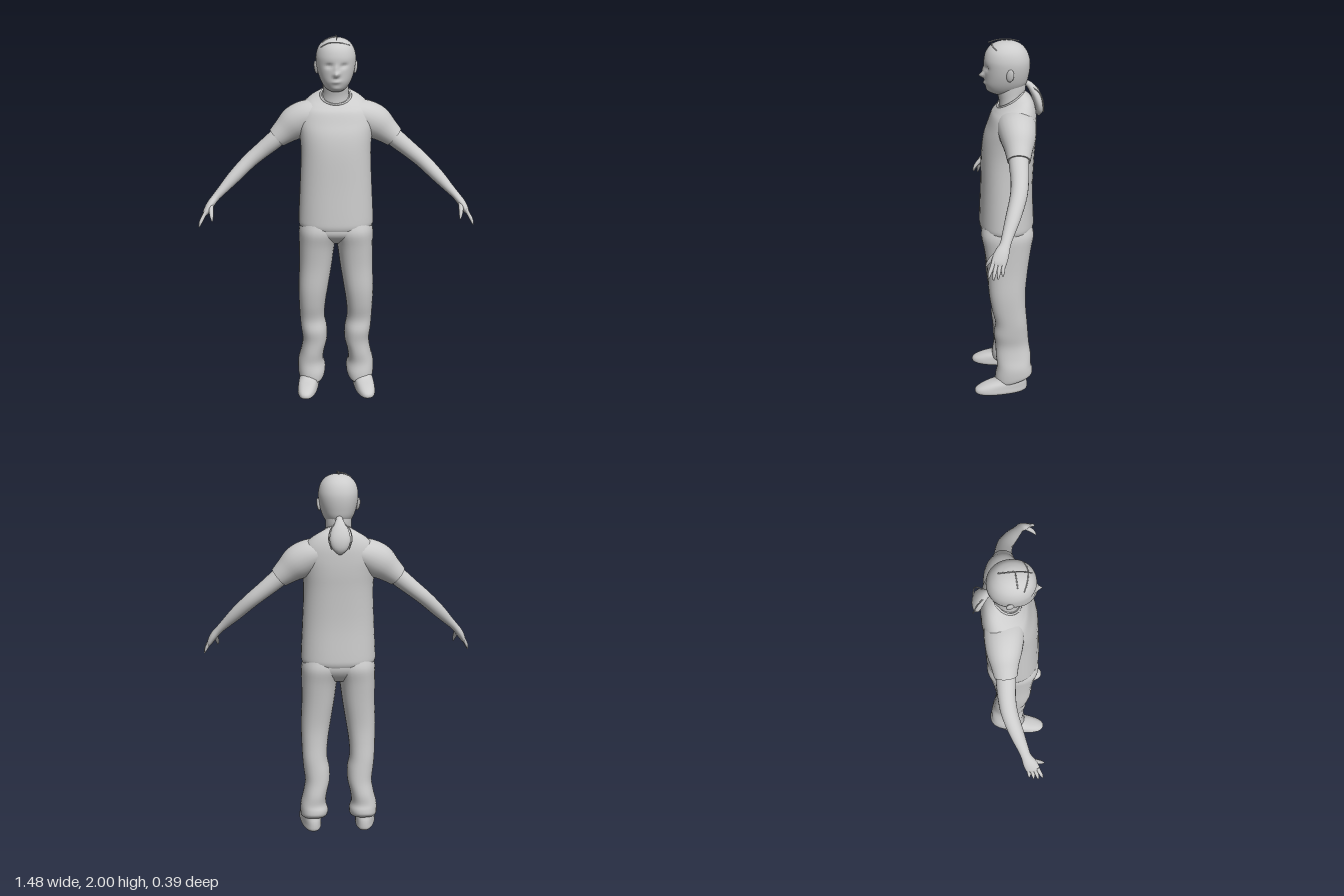
import * as THREE from 'three';

const grey = new THREE.MeshStandardMaterial({ color: 0xcccccc });
grey.name = 'plain grey';

// Smoothly resample rows of numbers
function smoothRows(rows, sub) {
  const out = [];
  const at = (i) => rows[Math.max(0, Math.min(rows.length - 1, i))];
  for (let i = 0; i < rows.length - 1; i++) {
    for (let s = 0; s < sub; s++) {
      const t = s / sub;
      out.push(rows[i].map((p1, k) => {
        const p0 = at(i - 1)[k], p2 = at(i + 1)[k], p3 = at(i + 2)[k];
        return 0.5 * (2 * p1 + (p2 - p0) * t + (2 * p0 - 5 * p1 + 4 * p2 - p3) * t * t
          + (3 * p1 - p0 - 3 * p2 + p3) * t * t * t);
      }));
    }
  }
  out.push(rows[rows.length - 1]);
  return out;
}

// Skin a list of rings; both ends get their own flat caps
function skin(rings) {
  const n = rings[0].length, pos = [], idx = [];
  rings.forEach((r) => r.forEach((p) => pos.push(p.x, p.y, p.z)));
  for (let i = 0; i < rings.length - 1; i++) {
    for (let j = 0; j < n; j++) {
      const a = i * n + j, b = i * n + (j + 1) % n;
      idx.push(a, b, b + n, a, b + n, a + n);
    }
  }
  [rings[0], rings[rings.length - 1]].forEach((r, end) => {
    const base = pos.length / 3, c = new THREE.Vector3();
    r.forEach((p) => { pos.push(p.x, p.y, p.z); c.addScaledVector(p, 1 / n); });
    pos.push(c.x, c.y, c.z);
    for (let j = 0; j < n; j++) {
      const a = base + j, b = base + (j + 1) % n;
      if (end) idx.push(a, b, base + n); else idx.push(b, a, base + n);
    }
  });
  const g = new THREE.BufferGeometry();
  g.setAttribute('position', new THREE.Float32BufferAttribute(pos, 3));
  g.setIndex(idx);
  g.computeVertexNormals();
  return g;
}

// Upright loft. Row: [y, centre x, front z, back z, half width, tilt]
function upright(rows, n = 32, power = 1, sub = 4) {
  const bend = (v) => Math.sign(v) * Math.abs(v) ** power;
  return skin(smoothRows(rows, sub).map(([y, cx, zf, zb, rx, tilt]) =>
    Array.from({ length: n }, (_, j) => {
      const a = (j / n) * Math.PI * 2;
      const z = (zf + zb) / 2 - ((zf - zb) / 2) * bend(Math.sin(a));
      return new THREE.Vector3(cx + rx * bend(Math.cos(a)), y - tilt * z, z);
    })));
}

// Limb along a path. Row: [x, y, z, thickness radius, depth radius]
function limb(rows, n = 16, sub = 4) {
  const rs = smoothRows(rows, sub), v = (r) => new THREE.Vector3(r[0], r[1], r[2]);
  return skin(rs.map((r, i) => {
    const t = v(rs[Math.min(i + 1, rs.length - 1)]).sub(v(rs[Math.max(i - 1, 0)])).normalize();
    const w = new THREE.Vector3(0, 0, 1).addScaledVector(t, -t.z).normalize();
    const u = t.clone().cross(w);
    return Array.from({ length: n }, (_, j) => {
      const a = (j / n) * Math.PI * 2;
      return v(r).addScaledVector(w, Math.cos(a) * r[4]).addScaledVector(u, Math.sin(a) * r[3]);
    });
  }));
}

export function createModel() {
  const model = new THREE.Group();
  const add = (name, geometry) => {
    const m = new THREE.Mesh(geometry, grey);
    m.name = name;
    model.add(m);
    return m;
  };
  const strand = (name, pts, r = 0.003) => add(name, new THREE.TubeGeometry(
    new THREE.CatmullRomCurve3(pts.map((p) => new THREE.Vector3(...p))), 12, r, 5));

  // Shirt body up to the sloping collar
  add('shirt', upright([
    [0.965, 0, 0.145, -0.13, 0.19, 0], [0.99, 0, 0.154, -0.14, 0.203, 0],
    [1.04, 0, 0.154, -0.14, 0.203, 0], [1.2, 0, 0.147, -0.134, 0.195, 0],
    [1.38, 0, 0.141, -0.142, 0.188, 0], [1.48, 0, 0.128, -0.15, 0.195, 0],
    [1.55, 0, 0.105, -0.152, 0.205, 0.03], [1.61, 0, 0.085, -0.148, 0.19, 0.1],
    [1.645, 0, 0.068, -0.13, 0.15, 0.3], [1.665, 0, 0.058, -0.1, 0.105, 0.5],
    [1.675, 0, 0.052, -0.085, 0.08, 0.6]], 40, 0.85));
  const collar = [];
  for (let i = 0; i < 32; i++) {
    const a = (i / 32) * Math.PI * 2, z = -0.016 + 0.068 * Math.sin(a);
    collar.push(new THREE.Vector3(0.08 * Math.cos(a), 1.675 - 0.6 * z, z));
  }
  add('collar', new THREE.TubeGeometry(new THREE.CatmullRomCurve3(collar, true), 48, 0.006, 6, true));

  // Neck and head, with the face pushed in and out by soft bumps
  add('neck', upright([
    [1.63, 0, 0.045, -0.08, 0.075, 0.3], [1.69, 0, 0.046, -0.085, 0.069, 0.2],
    [1.74, 0, 0.06, -0.095, 0.069, 0], [1.79, 0, 0.06, -0.095, 0.07, 0]], 28));
  const head = upright([
    [1.715, 0, 0.076, 0.0, 0.03, 0], [1.73, 0, 0.1, -0.06, 0.056, 0],
    [1.765, 0, 0.117, -0.096, 0.079, 0], [1.81, 0, 0.12, -0.11, 0.095, 0],
    [1.86, 0, 0.121, -0.117, 0.104, 0], [1.9, 0, 0.121, -0.114, 0.104, 0],
    [1.94, 0, 0.108, -0.098, 0.092, 0], [1.97, 0, 0.08, -0.07, 0.067, 0],
    [1.985, 0, 0.045, -0.035, 0.036, 0], [1.989, 0, 0.012, -0.005, 0.006, 0]], 56, 0.95, 6);
  const bumps = [ // x, y, spread x, spread y, push
    [0, 1.812, 0.013, 0.013, 0.03], [0, 1.84, 0.01, 0.02, 0.01],
    [0.038, 1.855, 0.018, 0.012, -0.012], [-0.038, 1.855, 0.018, 0.012, -0.012],
    [0, 1.773, 0.022, 0.008, 0.009], [0, 1.736, 0.025, 0.012, 0.006]];
  const p = head.attributes.position;
  for (let i = 0; i < p.count; i++) {
    if (p.getZ(i) < 0.03) continue;
    let push = 0;
    for (const [x, y, sx, sy, d] of bumps) {
      push += d * Math.exp(-(((p.getX(i) - x) / sx) ** 2) - ((p.getY(i) - y) / sy) ** 2);
    }
    p.setZ(i, p.getZ(i) + push);
  }
  head.computeVertexNormals();
  add('head', head);

  // Loose hair on the crown and the ponytail
  strand('crownHair', [[0, 1.982, 0.1], [0.003, 1.997, 0.05], [0, 1.997, -0.01], [0, 1.987, -0.06]]);
  strand('fringeHair', [[-0.07, 1.968, 0.03], [-0.035, 1.988, 0.025], [0, 1.995, 0.02]]);
  strand('sideHair', [[-0.08, 1.945, 0.06], [-0.04, 1.968, 0.075], [0.02, 1.97, 0.08], [0.07, 1.955, 0.06]]);
  add('ponytail', limb([
    [0, 1.775, -0.085, 0.015, 0.012], [0, 1.755, -0.115, 0.022, 0.018],
    [0, 1.715, -0.143, 0.045, 0.024], [0, 1.665, -0.162, 0.054, 0.027],
    [0, 1.62, -0.167, 0.04, 0.022], [0, 1.59, -0.163, 0.008, 0.006]], 20));

  // Hips under the shirt hem
  add('hips', upright([
    [0.88, 0, 0.07, -0.08, 0.1, 0], [0.92, 0, 0.125, -0.115, 0.185, 0],
    [0.96, 0, 0.148, -0.132, 0.2, 0], [1.02, 0, 0.14, -0.13, 0.19, 0]], 36, 0.85));

  for (const s of [1, -1]) {
    const side = s > 0 ? 'left' : 'right';
    const flip = (rows) => rows.map(([x, ...rest]) => [s * x, ...rest]);

    // Trouser leg: [y, inner x, outer x, front z, back z, tilt]
    const leg = [
      [0.055, 0.085, 0.195, 0.06, -0.11, 0.3], [0.07, 0.066, 0.212, 0.078, -0.13, 0.3],
      [0.11, 0.06, 0.216, 0.08, -0.13, 0.2], [0.16, 0.072, 0.213, 0.07, -0.122, 0.05],
      [0.22, 0.066, 0.198, 0.075, -0.122, 0], [0.29, 0.05, 0.188, 0.078, -0.112, 0],
      [0.36, 0.05, 0.196, 0.086, -0.106, 0], [0.43, 0.063, 0.202, 0.078, -0.1, 0],
      [0.52, 0.058, 0.206, 0.098, -0.092, 0], [0.62, 0.043, 0.208, 0.113, -0.09, 0],
      [0.75, 0.022, 0.203, 0.12, -0.103, 0], [0.87, 0.005, 0.203, 0.135, -0.12, 0],
      [0.95, -0.02, 0.203, 0.15, -0.135, 0], [1.0, -0.02, 0.19, 0.14, -0.125, 0]];
    add(side + 'TrouserLeg', upright(leg.map(([y, a, b, zf, zb, t]) =>
      [y, s * (a + b) / 2, zf, zb, (b - a) / 2, t]), 28, 0.88));

    // Shoe, toe turned slightly outward
    const shoe = add(side + 'Shoe', upright([
      [0, 0, 0.185, -0.09, 0.048, 0], [0.012, 0, 0.2, -0.1, 0.056, 0],
      [0.035, 0, 0.194, -0.102, 0.055, 0], [0.058, 0, 0.15, -0.1, 0.053, 0],
      [0.08, 0, 0.085, -0.095, 0.048, 0], [0.12, 0, 0.05, -0.09, 0.045, 0]], 28, 0.85));
    shoe.position.x = s * 0.152;
    shoe.rotation.y = s * 0.13;

    // Sleeve
    add(side + 'Sleeve', limb(flip([
      [0.08, 1.59, -0.035, 0.07, 0.1], [0.15, 1.565, -0.037, 0.09, 0.1],
      [0.215, 1.53, -0.038, 0.092, 0.09], [0.27, 1.488, -0.036, 0.072, 0.071],
      [0.316, 1.45, -0.033, 0.057, 0.059]]), 24));

    // Arm and palm
    add(side + 'Arm', limb(flip([
      [0.27, 1.49, -0.034, 0.05, 0.052], [0.33, 1.437, -0.032, 0.049, 0.051],
      [0.4, 1.38, -0.03, 0.044, 0.046], [0.47, 1.322, -0.018, 0.04, 0.043],
      [0.55, 1.245, 0.015, 0.035, 0.038], [0.61, 1.184, 0.044, 0.026, 0.03],
      [0.648, 1.145, 0.062, 0.021, 0.027], [0.675, 1.112, 0.08, 0.021, 0.036],
      [0.697, 1.077, 0.095, 0.017, 0.038], [0.705, 1.06, 0.101, 0.011, 0.034]]), 20));

    // Fingers and thumb
    for (let f = 0; f < 4; f++) {
      const k = f - 1.5, len = [0.75, 0.95, 1, 0.85][f];
      const z = 0.1 + k * 0.018;
      add(side + 'Finger' + (f + 1), limb(flip([
        [0.696, 1.085, z - 0.006, 0.01, 0.01], [0.708, 1.062, z + 0.002, 0.01, 0.01],
        [0.708 + 0.018 * len, 1.062 - 0.034 * len, z + 0.01 + k * 0.003, 0.009, 0.009],
        [0.708 + 0.028 * len, 1.062 - 0.062 * len, z + 0.014 + k * 0.005, 0.004, 0.004]]), 10));
    }
    add(side + 'Thumb', limb(flip([
      [0.666, 1.125, 0.085, 0.012, 0.012], [0.668, 1.095, 0.118, 0.013, 0.013],
      [0.665, 1.066, 0.142, 0.01, 0.01], [0.661, 1.04, 0.156, 0.004, 0.004]]), 10));

    // Ear and loose strand beside the ponytail
    const ear = add(side + 'Ear', new THREE.SphereGeometry(1, 16, 12));
    ear.scale.set(0.009, 0.034, 0.02);
    ear.position.set(s * 0.104, 1.832, -0.006);
    ear.rotation.set(-0.2, -s * 0.35, -s * 0.15);
    strand(side + 'PonytailStrand', [[s * 0.015, 1.755, -0.12], [s * 0.05, 1.72, -0.165],
      [s * 0.06, 1.67, -0.18], [s * 0.045, 1.62, -0.185]]);
  }
  return model;
}
